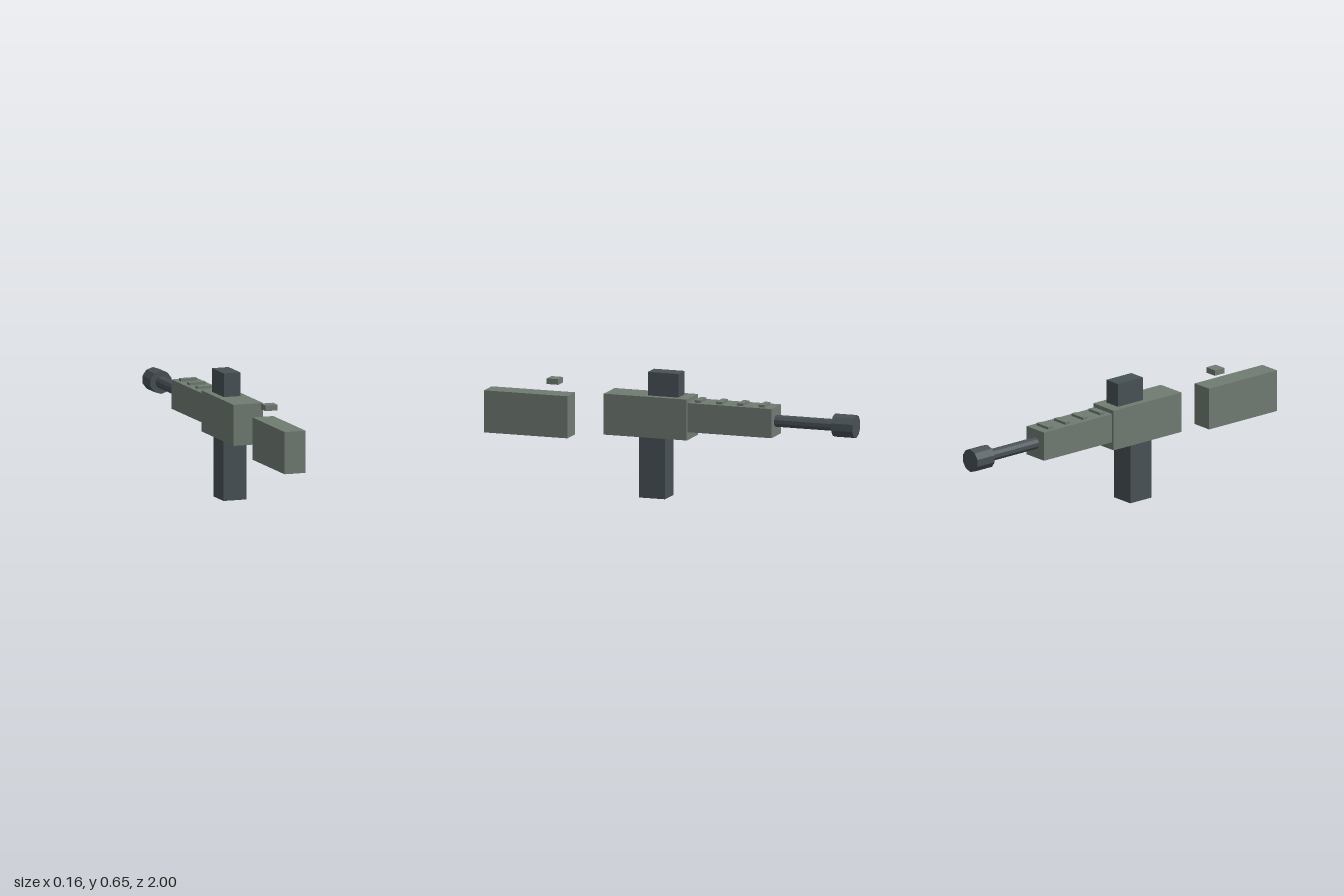
import * as THREE from 'three';

export function createModel() {
  const group = new THREE.Group();
  const sage = new THREE.MeshStandardMaterial({ color: 0x707b72, flatShading: true });
  sage.name = 'sage green';
  const dark = new THREE.MeshStandardMaterial({ color: 0x485156, flatShading: true });
  dark.name = 'dark gunmetal';

  const add = (name, geometry, material, y, z) => {
    const mesh = new THREE.Mesh(geometry, material);
    mesh.name = name;
    mesh.position.set(0, y, z);
    group.add(mesh);
  };
  // Box centred on x = 0, given its width and its extents in y and z
  const block = (name, material, width, y0, y1, z0, z1) =>
    add(name, new THREE.BoxGeometry(width, y1 - y0, z1 - z0), material, (y0 + y1) / 2, (z0 + z1) / 2);
  // Ten-sided cylinder lying along z
  const tube = (name, radius, z0, z1) =>
    add(name, new THREE.CylinderGeometry(radius, radius, z1 - z0, 10).rotateX(Math.PI / 2), dark, 0.435, (z0 + z1) / 2);

  // Body
  block('receiver', sage, 0.16, 0.316, 0.528, -0.11, 0.341);
  block('handguard', sage, 0.136, 0.357, 0.508, -0.565, -0.11);
  block('sight', dark, 0.09, 0.528, 0.65, -0.052, 0.114);
  block('magazine', dark, 0.126, 0, 0.316, 0.015, 0.156);

  // Raised ribs along the handguard
  for (let i = 0; i < 4; i++) {
    const z = -0.155 - i * 0.116;
    block('rib' + (i + 1), sage, 0.09, 0.508, 0.521, z - 0.016, z + 0.016);
  }

  // Barrel and muzzle
  tube('barrel', 0.031, -0.885, -0.565);
  tube('muzzle', 0.06, -1, -0.885);

  // Detached stock and the small block floating above it
  block('stock', sage, 0.114, 0.278, 0.496, 0.547, 1);
  block('rearSight', sage, 0.067, 0.547, 0.576, 0.605, 0.668);

  return group;
}
